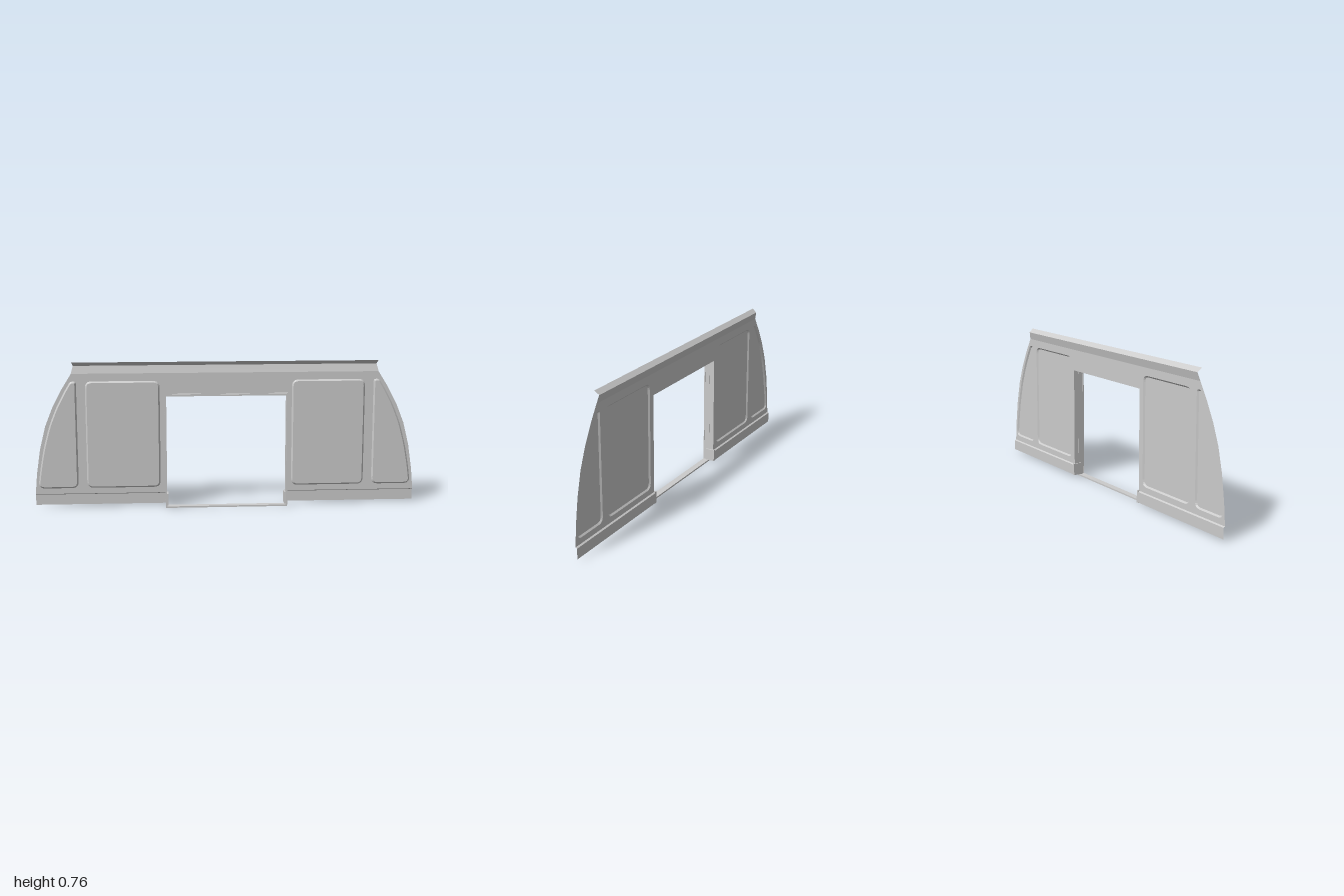
import * as THREE from 'three';

const material = new THREE.MeshStandardMaterial({ color: 0xcccccc, flatShading: true, side: THREE.DoubleSide });
const WALL_Z = -0.025, PANEL_Z = -0.018;

function addMesh(parent, name, geometry, z = 0) {
  const mesh = new THREE.Mesh(geometry, material);
  mesh.name = name;
  mesh.position.z = z;
  parent.add(mesh);
  return mesh;
}

const vectors = list => list.map(([x, y]) => new THREE.Vector2(x, y));

// strips of quads between successive rows of [x, y, z] points
function loft(rows) {
  const n = rows[0].length, index = [];
  for (let r = 0; r < rows.length - 1; r++) {
    for (let i = 0; i < n - 1; i++) {
      const a = r * n + i, b = a + n;
      index.push(a, a + 1, b, a + 1, b + 1, b);
    }
  }
  const g = new THREE.BufferGeometry();
  g.setAttribute('position', new THREE.Float32BufferAttribute(rows.flat(2), 3));
  g.setIndex(index);
  g.computeVertexNormals();
  return g;
}

// counter-clockwise outline with rounded corners
function roundedOutline(corners, radius) {
  const pts = vectors(corners), out = [];
  pts.forEach((p, i) => {
    const prev = pts[(i + pts.length - 1) % pts.length], next = pts[(i + 1) % pts.length];
    const a = prev.clone().sub(p), b = next.clone().sub(p);
    const r = Math.min(radius, a.length() * 0.45, b.length() * 0.45);
    const curve = new THREE.QuadraticBezierCurve(
      p.clone().add(a.setLength(r)), p, p.clone().add(b.setLength(r)));
    out.push(...curve.getPoints(5));
  });
  return out;
}

// move an outline inwards along its averaged normals
function inset(outline, d) {
  const n = outline.length;
  return outline.map((p, i) => {
    const t = outline[(i + 1) % n].clone().sub(outline[(i + n - 1) % n]).normalize();
    return new THREE.Vector2(p.x - t.y * d, p.y + t.x * d);
  });
}

// pressed panel: sloping rim and flat raised field
function addPanel(parent, name, outline) {
  const panel = new THREE.Group();
  panel.name = name;
  const inner = inset(outline, 0.008);
  const row = (pts, z) => [...pts, pts[0]].map(p => [p.x, p.y, z]);
  addMesh(panel, 'panelRim', loft([row(outline, WALL_Z), row(inner, PANEL_Z)]));
  addMesh(panel, 'panelField', new THREE.ShapeGeometry(new THREE.Shape(inner)), PANEL_Z);
  parent.add(panel);
}

// rectangular ring around the doorway, from z0 to z1
function ring(halfWidth, y0, y1, thickness, z0, z1) {
  const rect = (w, a, b) => vectors([[-w, a], [w, a], [w, b], [-w, b]]);
  const shape = new THREE.Shape(rect(halfWidth, y0, y1));
  shape.holes.push(new THREE.Path(rect(halfWidth - thickness, y0 + thickness, y1 - thickness)));
  return new THREE.ExtrudeGeometry(shape, { depth: z1 - z0, bevelEnabled: false }).translate(0, 0, z0);
}

function box(x0, x1, y0, y1, z0, z1) {
  return new THREE.BoxGeometry(x1 - x0, y1 - y0, z1 - z0)
    .translate((x0 + x1) / 2, (y0 + y1) / 2, (z0 + z1) / 2);
}

export function createModel() {
  const group = new THREE.Group();
  group.name = 'endWall';

  // curved side of the wall, from bottom to top
  const side = [[1, 0.07], [0.99, 0.18], [0.97, 0.31], [0.94, 0.43], [0.9, 0.53], [0.85, 0.625], [0.8, 0.705]];
  const mirrored = pts => pts.map(([x, y]) => [-x, y]).reverse();

  // panel outlines on the +x half
  const squarePanel = roundedOutline([[0.345, 0.1], [0.73, 0.1], [0.73, 0.665], [0.345, 0.665]], 0.035);
  const curvedPanel = roundedOutline([[0.775, 0.1], [0.985, 0.1], [0.972, 0.2], [0.952, 0.31],
    [0.92, 0.43], [0.88, 0.53], [0.838, 0.61], [0.805, 0.665], [0.775, 0.665]], 0.035);
  const flip = pts => pts.map(p => new THREE.Vector2(-p.x, p.y)).reverse();

  // flat wall sheet, open for the doorway and the panels
  const half = [[0.314, 0.595], [0.314, 0.07], ...side];
  const wall = new THREE.Shape(vectors([...half, ...mirrored(half)]));
  for (const outline of [squarePanel, curvedPanel]) {
    wall.holes.push(new THREE.Path(outline), new THREE.Path(flip(outline)));
  }
  addMesh(group, 'wallSheet', new THREE.ShapeGeometry(wall), WALL_Z);

  addPanel(group, 'leftSquarePanel', squarePanel);
  addPanel(group, 'rightSquarePanel', flip(squarePanel));
  addPanel(group, 'leftCurvedPanel', curvedPanel);
  addPanel(group, 'rightCurvedPanel', flip(curvedPanel));

  // folded roof gutter
  const gutter = [[0.8, 0.705, WALL_Z], [0.79, 0.745, -0.035], [0.795, 0.765, -0.012]];
  addMesh(group, 'roofGutter', loft(gutter.map(([x, y, z]) => [[-x, y, z], [x, y, z]])));

  // stepped skirt, door post and foot on each side
  const skirt = [[0.07, WALL_Z], [0.065, -0.033], [0.01, -0.033]];
  for (const s of [1, -1]) {
    const name = s > 0 ? 'left' : 'right';
    const span = (a, b) => (s > 0 ? [a, b] : [-b, -a]);
    addMesh(group, name + 'Skirt', loft(skirt.map(([y, z]) => span(0.31, 1).map(x => [x, y, z]))));
    addMesh(group, name + 'DoorPost', box(...span(0.313, 0.317), 0.07, 0.596, WALL_Z, 0.004));
    addMesh(group, name + 'PostFoot', box(...span(0.306, 0.318), 0.008, 0.072, -0.033, 0.018));
  }
  addMesh(group, 'doorHead', box(-0.317, 0.317, 0.592, 0.596, WALL_Z, 0.004));

  // grooved gangway frame: two flanges joined by a narrower neck
  addMesh(group, 'rearFlange', ring(0.32, 0, 0.6, 0.008, 0.001, 0.007));
  addMesh(group, 'frameNeck', ring(0.316, 0.005, 0.595, 0.003, 0.007, 0.029));
  addMesh(group, 'frontFlange', ring(0.32, 0, 0.6, 0.008, 0.029, 0.035));

  return group;
}
